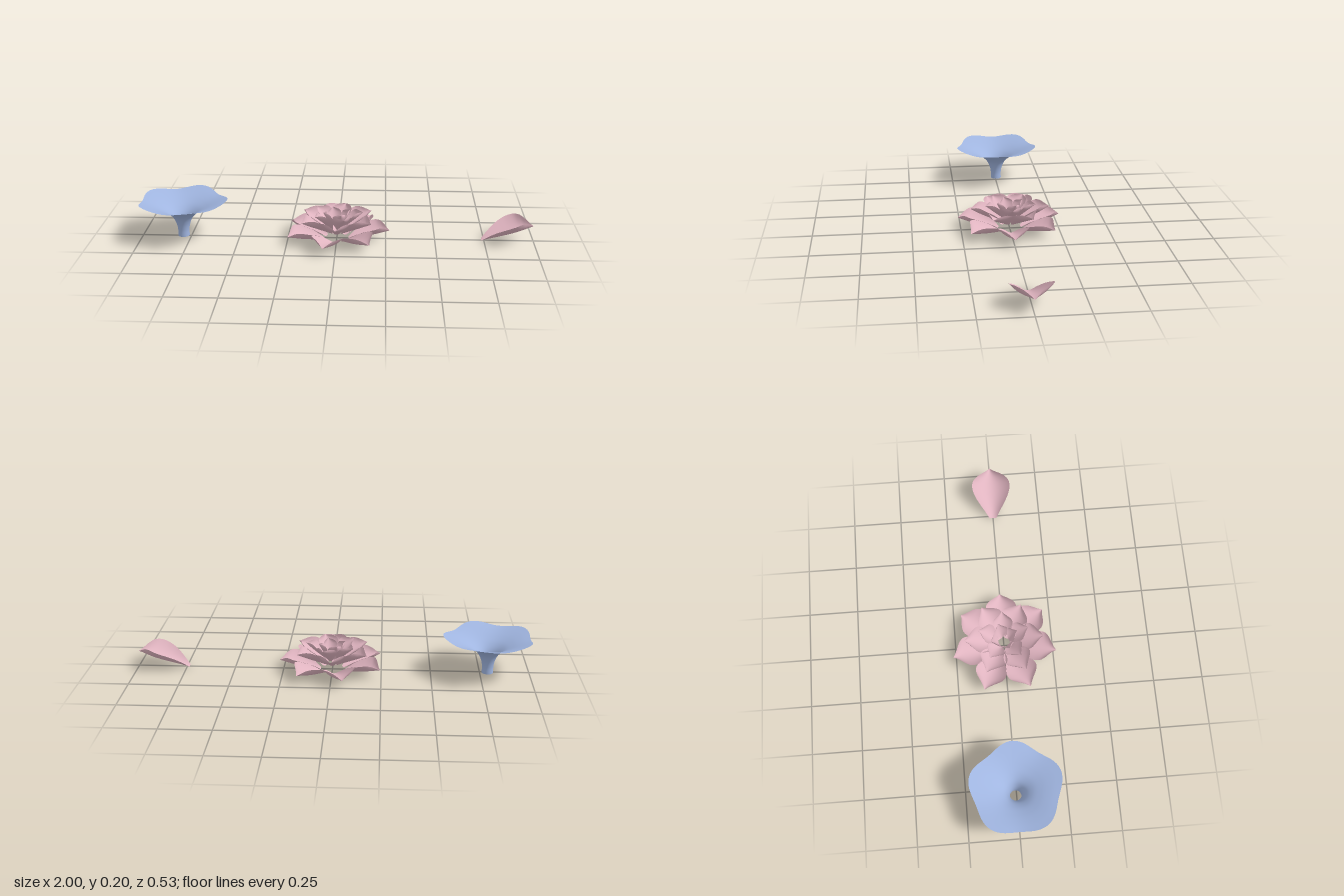
import * as THREE from 'three';
import { ParametricGeometry } from 'three/addons/geometries/ParametricGeometry.js';

const pink = new THREE.MeshStandardMaterial({ name: 'petalPink', color: 0xe0b4c0, side: THREE.DoubleSide });
const blue = new THREE.MeshStandardMaterial({ name: 'trumpetBlue', color: 0xa0b5e0, side: THREE.DoubleSide });
const rad = THREE.MathUtils.degToRad;
const curve = (pts) => new THREE.CatmullRomCurve3(pts.map((p) => new THREE.Vector3(...p)));

// Cupped petal along +x: the rim curve gives length, lift and half width
function petalGeometry() {
  const rim = curve([
    [0, 0.004, 0.018], [0.035, 0.022, 0.04], [0.076, 0.04, 0.067], [0.115, 0.051, 0.088],
    [0.153, 0.057, 0.1], [0.19, 0.058, 0.097], [0.217, 0.054, 0.077],
    [0.24, 0.038, 0.045], [0.256, 0.018, 0.02], [0.272, 0, 0.001],
  ]);
  const p = new THREE.Vector3();
  return new ParametricGeometry((u, v, target) => {
    rim.getPoint(v, p);
    const s = 1 - 2 * u;
    target.set(p.x, p.y * s * s, p.z * s);
  }, 16, 32);
}

// Trumpet flower: flaring tube whose rim swells into five waves
function trumpetGeometry() {
  const profile = curve([
    [0.029, 0, 0], [0.029, 0.035, 0], [0.036, 0.07, 0], [0.052, 0.103, 0],
    [0.082, 0.132, 0], [0.125, 0.156, 0], [0.172, 0.175, 0], [0.219, 0.19, 0],
  ]);
  const p = new THREE.Vector3();
  return new ParametricGeometry((u, v, target) => {
    profile.getPoint(v, p);
    const a = u * Math.PI * 2;
    const wave = Math.cos(5 * a) * v ** 4;
    const r = p.x + 0.012 * wave;
    target.set(r * Math.cos(a), p.y + 0.0075 * wave, r * Math.sin(a));
  }, 80, 32);
}

export function createModel() {
  const model = new THREE.Group();
  model.name = 'flowerParts';

  const trumpet = new THREE.Mesh(trumpetGeometry(), blue);
  trumpet.name = 'trumpetFlower';
  trumpet.position.set(-0.79, 0, -0.005);
  model.add(trumpet);

  const petal = petalGeometry();

  // Layered blossom: each ring is smaller, higher and steeper than the one outside it
  const blossom = new THREE.Group();
  blossom.name = 'layeredBlossom';
  const rings = [
    { name: 'outerPetal', count: 7, turn: 0, base: 0.06, y: 0, tilt: 12, size: 0.79 },
    { name: 'secondPetal', count: 6, turn: 30, base: 0.032, y: 0.03, tilt: 26, size: 0.7 },
    { name: 'thirdPetal', count: 5, turn: 0, base: 0.03, y: 0.054, tilt: 40, size: 0.5 },
    { name: 'innerPetal', count: 4, turn: 20, base: 0.028, y: 0.062, tilt: 62, size: 0.35 },
  ];
  for (const ring of rings) {
    for (let i = 0; i < ring.count; i++) {
      const arm = new THREE.Group();
      arm.name = ring.name;
      arm.rotation.y = rad(ring.turn + (360 * i) / ring.count);
      const leaf = new THREE.Mesh(petal, pink);
      leaf.name = ring.name + 'Blade';
      leaf.position.set(ring.base, ring.y, 0);
      leaf.rotation.z = rad(ring.tilt);
      leaf.scale.setScalar(ring.size);
      arm.add(leaf);
      blossom.add(arm);
    }
  }
  model.add(blossom);

  // Loose petal lying on its own
  const loose = new THREE.Mesh(petal, pink);
  loose.name = 'loosePetal';
  loose.position.set(0.738, 0, 0);
  loose.rotation.z = rad(17);
  model.add(loose);

  return model;
}
